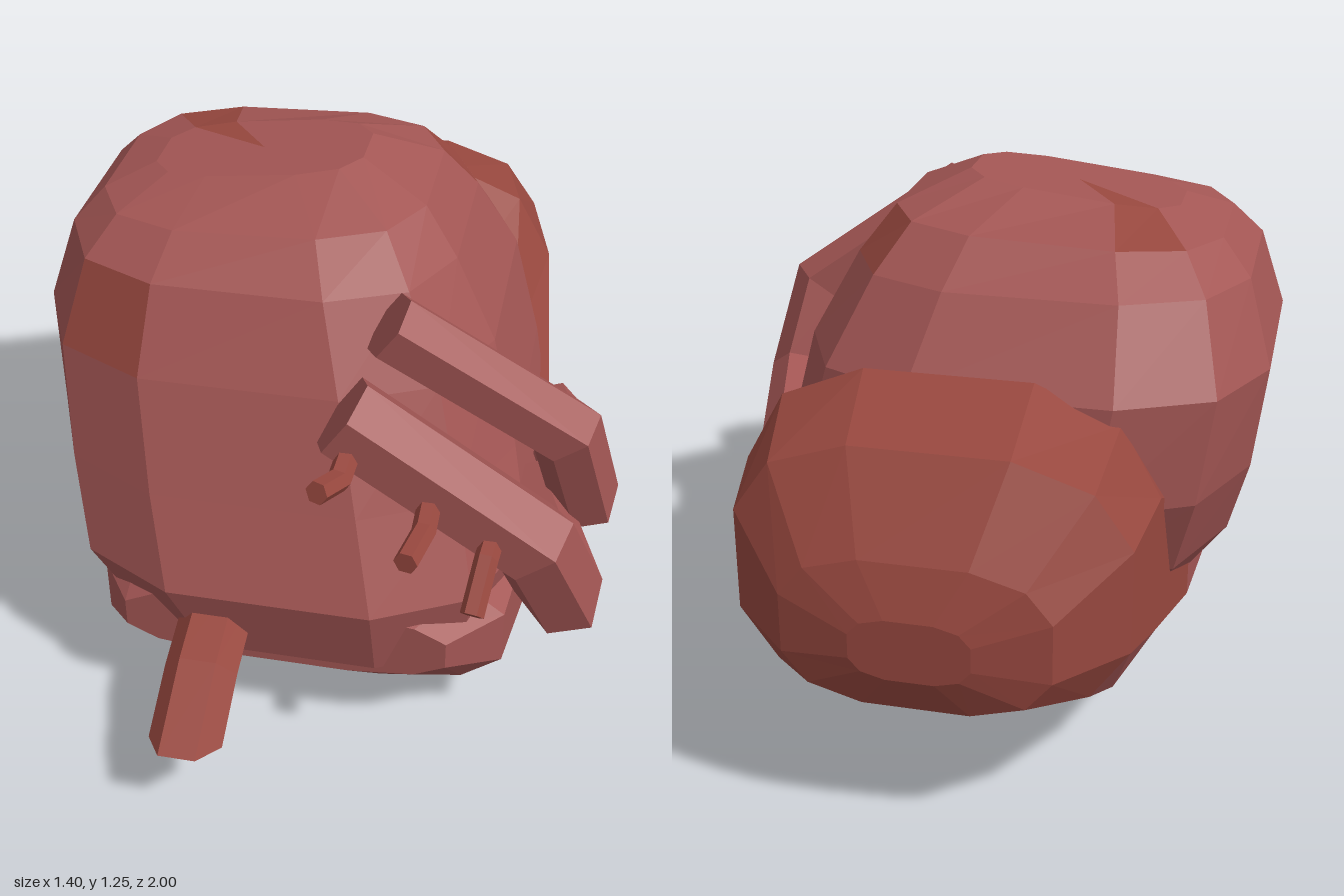
import * as THREE from 'three';

const V = (x, y, z) => new THREE.Vector3(x, y, z);
const SIDES = 12;
const flesh = new THREE.MeshStandardMaterial({ color: 0xa35654, flatShading: true });
const ruddy = new THREE.MeshStandardMaterial({ color: 0x98483f, flatShading: true });

// Skin a row of rings and close both ends; keep(i, j) chooses which faces to build.
function loft(rings, keep = () => true) {
  const pos = [];
  const tri = (...pts) => pts.forEach((p) => pos.push(p.x, p.y, p.z));
  const n = rings[0].length;
  const last = rings.length - 1;
  const middle = (ring) => ring.reduce((sum, p) => sum.add(p), V(0, 0, 0)).divideScalar(n);
  const start = middle(rings[0]);
  const end = middle(rings[last]);
  for (let j = 0; j < n; j++) {
    const k = (j + 1) % n;
    for (let i = 0; i < last; i++) {
      if (!keep(i, j)) continue;
      const a = rings[i], b = rings[i + 1];
      tri(a[j], a[k], b[k]);
      tri(a[j], b[k], b[j]);
    }
    if (keep(0, j)) tri(start, rings[0][k], rings[0][j]);
    if (keep(last - 1, j)) tri(end, rings[last][j], rings[last][k]);
  }
  const geo = new THREE.BufferGeometry();
  geo.setAttribute('position', new THREE.Float32BufferAttribute(pos, 3));
  geo.computeVertexNormals();
  return geo;
}

// Rounded-box ring with flat sides, filling the span a0..a1 by b0..b1
function roundedRing(a0, a1, b0, b1, power, place) {
  const soft = (t) => Math.sign(t) * Math.abs(t) ** (2 / power);
  const reach = soft(Math.cos(Math.PI / SIDES));
  return Array.from({ length: SIDES }, (_, j) => {
    const t = ((j + 0.5) / SIDES) * Math.PI * 2;
    return place(
      (a0 + a1) / 2 + (soft(Math.cos(t)) * (a1 - a0)) / 2 / reach,
      (b0 + b1) / 2 + (soft(Math.sin(t)) * (b1 - b0)) / 2 / reach
    );
  });
}

// Six-sided pipe with mitred bends; endDir slants the far end, flat squashes it
function pipe(points, radius, { flat = 1, endDir } = {}) {
  const pts = points.map((p) => V(...p));
  const dirs = pts.slice(1).map((p, i) => p.clone().sub(pts[i]).normalize());
  const u = V(0, 0, 1).cross(dirs[0]);
  if (u.length() < 0.5) u.set(1, 0, 0);
  u.addScaledVector(dirs[0], -u.dot(dirs[0])).normalize();
  const v = dirs[0].clone().cross(u);
  const rings = [Array.from({ length: 6 }, (_, j) => {
    const t = (j / 6) * Math.PI * 2;
    return pts[0].clone()
      .addScaledVector(u, Math.cos(t) * radius)
      .addScaledVector(v, Math.sin(t) * radius * flat);
  })];
  dirs.forEach((d, i) => {
    // slide the previous ring along the segment to the plane that halves the bend
    const plane = d.clone().add(dirs[i + 1] || endDir || d).normalize();
    rings.push(rings[i].map((p) => {
      const s = pts[i + 1].clone().sub(p).dot(plane) / d.dot(plane);
      return p.clone().addScaledVector(d, s);
    }));
  });
  return loft(rings);
}

export function createModel() {
  const model = new THREE.Group();
  model.name = 'organ';
  const add = (name, geo, material) => {
    const mesh = new THREE.Mesh(geo, material);
    mesh.name = name;
    model.add(mesh);
  };

  // Upper chamber, stacked upwards: y, x span, z span, sideways tilt
  const upper = [
    [0.23, -0.5, 0.46, -0.4, 0.66, 0],
    [0.42, -0.62, 0.5, -0.52, 0.7, 0],
    [0.63, -0.67, 0.45, -0.6, 0.61, 0],
    [0.88, -0.70, 0.38, -0.58, 0.51, 0],
    [1.07, -0.64, 0.28, -0.45, 0.41, 0],
    [1.16, -0.57, 0.2, -0.34, 0.31, 0.04],
    [1.22, -0.46, 0.04, -0.15, 0.14, 0.12],
  ].map(([y, x0, x1, z0, z1, tilt]) =>
    roundedRing(z0, z1, x0, x1, 3.1, (z, x) => V(x, y + tilt * (x + 0.2), z)));
  const blotch = (i, j) =>
    (i === 3 && j === 10) || (i === 4 && j === 3) || (i === 5 && j === 6);
  add('upperChamber', loft(upper, (i, j) => !blotch(i, j)), flesh);
  add('upperBlotches', loft(upper, blotch), ruddy);

  // Lower chamber, running from back to front: z, x span, y span
  const lower = [
    [-1.0, -0.18, 0.08, 0.42, 0.56],
    [-0.96, -0.34, 0.24, 0.33, 0.67],
    [-0.83, -0.48, 0.38, 0.27, 0.86],
    [-0.56, -0.5, 0.45, 0.1, 0.92],
    [-0.15, -0.53, 0.5, 0, 0.7],
    [0.2, -0.54, 0.51, 0, 0.54],
    [0.52, -0.51, 0.47, 0.07, 0.43],
    [0.65, -0.42, 0.35, 0.2, 0.38],
  ].map(([z, x0, x1, y0, y1]) =>
    roundedRing(x0, x1, y0, y1, 2.9, (x, y) => V(x, y, z)));
  const rear = (i, j) => i < 2 || (i < 4 && (j < 6 || j === 11));
  add('lowerChamber', loft(lower, (i, j) => !rear(i, j)), flesh);
  add('rearLobe', loft(lower, rear), ruddy);

  // Two bent vessels wrapping the left side
  add('upperVessel', pipe([
    [0.17, 1.05, 0.44], [0.57, 0.77, 0.37], [0.62, 0.54, 0.29], [0.51, 0.45, -0.14],
  ], 0.083), flesh);
  add('frontVessel', pipe([
    [0.11, 0.96, 0.66], [0.53, 0.68, 0.66], [0.59, 0.51, 0.6], [0.48, 0.45, 0.22],
  ], 0.098), flesh);

  // Small branches on the front vessel
  [
    [[0.14, 0.92, 0.68], [0.13, 0.89, 0.79], [0.1, 0.915, 0.87]],
    [[0.31, 0.81, 0.68], [0.31, 0.79, 0.8], [0.29, 0.795, 0.91]],
    [[0.45, 0.73, 0.68], [0.44, 0.71, 0.77], [0.425, 0.63, 0.86]],
  ].forEach((path, i) => add('branch' + (i + 1), pipe(path, 0.026), ruddy));

  // Stub leaving the front, its end cut to face downwards
  add('frontStub', pipe([
    [-0.2, 0.34, 0.55], [-0.2, 0.27, 0.78], [-0.2, 0.19, 0.93],
  ], 0.086, { flat: 0.7, endDir: V(0, -2, -0.1) }), ruddy);

  return model;
}
